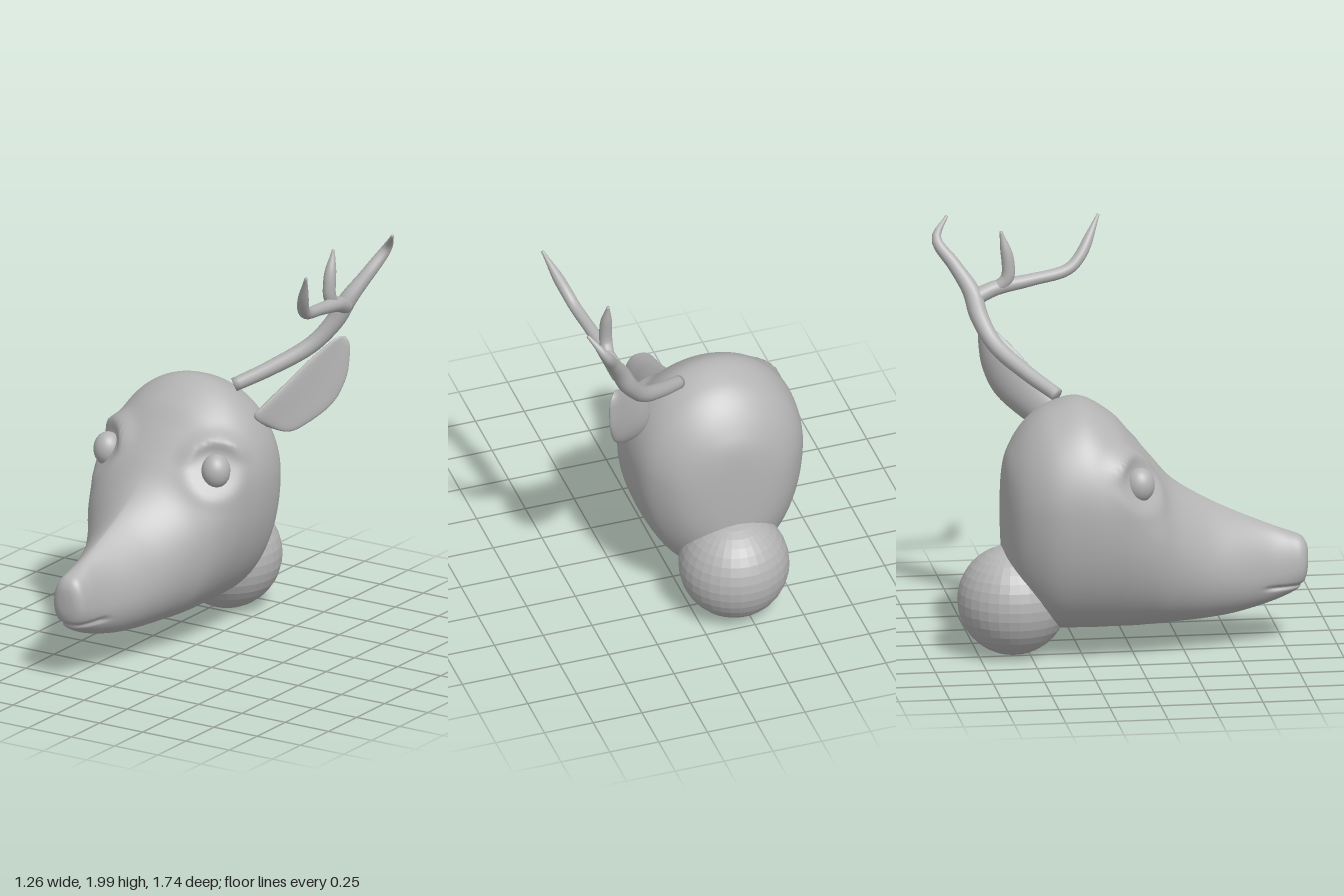
import * as THREE from 'three';

const grey = new THREE.MeshStandardMaterial({ color: 0xb4b4b4 });
grey.name = 'plain grey';

const part = (name, geometry) => {
  const mesh = new THREE.Mesh(geometry, grey);
  mesh.name = name;
  return mesh;
};

// Skin over a list of closed rings, all with the same number of points
function loft(rings) {
  const n = rings[0].length;
  const index = [];
  for (let i = 0; i < rings.length - 1; i++) {
    for (let j = 0; j < n; j++) {
      const k = (j + 1) % n;
      const a = i * n + j, b = i * n + k, c = a + n, d = b + n;
      index.push(a, c, b, b, c, d);
    }
  }
  const geometry = new THREE.BufferGeometry().setFromPoints(rings.flat());
  geometry.setIndex(index);
  geometry.computeVertexNormals();
  return geometry;
}

// Smooth value at t (0..1) along a list of equally spaced rows of numbers
function sample(rows, t) {
  const f = t * (rows.length - 1);
  const i = Math.min(Math.floor(f), rows.length - 2);
  const u = f - i;
  const at = (k) => rows[THREE.MathUtils.clamp(k, 0, rows.length - 1)];
  return rows[0].map((_, c) => {
    const [p, q, r, s] = [at(i - 1)[c], at(i)[c], at(i + 1)[c], at(i + 2)[c]];
    return q + 0.5 * u * (r - p + u * (2 * p - 5 * q + 4 * r - s + u * (3 * (q - r) + s - p)));
  });
}

const power = (v, e) => Math.sign(v) * Math.pow(Math.abs(v), e);
const bell = (d, width) => Math.exp(-((d / width) ** 2));

// Head sections: z, top, bottom, half width, height of widest point, upper pinch
const HEAD = [
  [0.865, 0.46, 0.44, 0, 0.45, 0.8],
  [0.858, 0.51, 0.36, 0.05, 0.43, 0.8],
  [0.83, 0.55, 0.30, 0.085, 0.41, 0.8],
  [0.77, 0.575, 0.262, 0.098, 0.39, 0.9],
  [0.66, 0.62, 0.22, 0.118, 0.38, 1.2],
  [0.5, 0.69, 0.18, 0.18, 0.39, 1.45],
  [0.35, 0.765, 0.16, 0.23, 0.43, 1.4],
  [0.2, 0.86, 0.15, 0.3, 0.52, 1.2],
  [0.1, 0.97, 0.145, 0.362, 0.61, 1.0],
  [0, 1.09, 0.14, 0.4, 0.7, 1.0],
  [-0.1, 1.2, 0.14, 0.425, 0.77, 1.0],
  [-0.25, 1.283, 0.14, 0.435, 0.8, 1.0],
  [-0.4, 1.25, 0.15, 0.415, 0.8, 1.0],
  [-0.5, 1.18, 0.22, 0.36, 0.79, 1.0],
  [-0.58, 1.07, 0.33, 0.27, 0.76, 0.95],
  [-0.625, 0.95, 0.45, 0.14, 0.72, 0.9],
  [-0.635, 0.72, 0.71, 0, 0.715, 0.9],
];

// Eye sockets, brow ridges and the mouth groove
function sculpt(v) {
  const side = Math.sign(v.x);
  const d = Math.hypot(Math.abs(v.x) - 0.31, v.y - 0.92, v.z);
  const above = THREE.MathUtils.clamp((v.y - 0.92) / 0.1, 0.2, 1);
  const push = 0.035 * above * bell(d - 0.15, 0.04) - 0.02 * bell(d, 0.09);
  v.x += side * push * 0.75;
  v.y += push * 0.25;
  v.z += push * 0.6;
  if (v.z > 0.62) {
    const groove = 0.16 * bell(v.y - 0.312, 0.01) * THREE.MathUtils.smoothstep(v.z, 0.62, 0.7);
    v.x *= 1 - groove;
    v.z -= groove * 0.06;
  }
  return v;
}

function headGeometry() {
  const rings = [];
  const rows = 112, sides = 96;
  for (let i = 0; i <= rows; i++) {
    const [z, top, bottom, width, mid, pinch] = sample(HEAD, i / rows);
    const ring = [];
    for (let j = 0; j < sides; j++) {
      const a = (j / sides) * Math.PI * 2;
      const c = Math.cos(a), s = Math.sin(a);
      const x = Math.max(width, 0) * power(c, s > 0 ? pinch : 0.95);
      const y = mid + s * (s > 0 ? top - mid : mid - bottom);
      ring.push(sculpt(new THREE.Vector3(x, y, z)));
    }
    rings.push(ring);
  }
  return loft(rings);
}

// Tapered round branch through the given points
function branch(points, radii) {
  const curve = new THREE.CatmullRomCurve3(points.map((p) => new THREE.Vector3(...p)));
  const steps = 40, sides = 14;
  const frames = curve.computeFrenetFrames(steps);
  const table = radii.map((r) => [r]);
  const rings = [];
  for (let i = -1; i <= steps + 1; i++) {
    const k = THREE.MathUtils.clamp(i, 0, steps);
    const radius = i === k ? sample(table, k / steps)[0] : 0;
    const centre = curve.getPointAt(k / steps);
    rings.push(Array.from({ length: sides }, (_, j) => {
      const a = (j / sides) * Math.PI * 2;
      return centre.clone()
        .addScaledVector(frames.normals[k], radius * Math.cos(a))
        .addScaledVector(frames.binormals[k], -radius * Math.sin(a));
    }));
  }
  return loft(rings);
}

// Cupped leaf in an upright diagonal plane: run back, height, half width, half thickness
const EAR = [
  [0.335, 1.065, 0, 0],
  [0.35, 1.08, 0.083, 0.03],
  [0.41, 1.13, 0.105, 0.036],
  [0.5, 1.22, 0.112, 0.034],
  [0.57, 1.33, 0.092, 0.028],
  [0.62, 1.435, 0.05, 0.02],
  [0.637, 1.475, 0.025, 0.012],
  [0.643, 1.49, 0, 0],
];

function earGeometry() {
  const rings = [];
  const rows = 42, sides = 28;
  for (let i = 0; i <= rows; i++) {
    const [run, height, width, thick] = sample(EAR, i / rows);
    rings.push(Array.from({ length: sides }, (_, j) => {
      const a = (j / sides) * Math.PI * 2;
      const across = Math.max(width, 0) * Math.cos(a);
      const out = Math.max(thick, 0) * (Math.sin(a) + 0.7 * Math.cos(a) ** 2 - 0.35);
      const u = run + across * 0.82;
      return new THREE.Vector3(0.16 + (u - 0.3) * 0.82 + out * 0.77, height - across * 0.57, -u + out * 0.63);
    }));
  }
  return loft(rings);
}

export function createModel() {
  const model = new THREE.Group();
  model.name = 'deerHead';

  // Head, eyes and neck ball share a centre line at x = -0.2
  const skull = new THREE.Group();
  skull.name = 'skull';
  skull.position.x = -0.2;
  skull.add(part('head', headGeometry()));
  for (const side of [1, -1]) {
    const eye = part(side > 0 ? 'leftEye' : 'rightEye', new THREE.SphereGeometry(1, 28, 20));
    eye.scale.set(0.07, 0.085, 0.072);
    eye.position.set(side * 0.312, 0.92, 0);
    skull.add(eye);
  }
  const ball = new THREE.SphereGeometry(0.27, 32, 18).toNonIndexed();
  ball.computeVertexNormals();
  const neck = part('neckBall', ball);
  neck.position.set(0, 0.28, -0.58);
  skull.add(neck);
  model.add(skull);

  // Single antler: main beam and two tines
  const antler = new THREE.Group();
  antler.name = 'leftAntler';
  antler.add(
    part('antlerBeam', branch(
      [[0, 1.245, -0.335], [0.13, 1.32, -0.46], [0.28, 1.43, -0.6], [0.37, 1.55, -0.665],
        [0.425, 1.66, -0.695], [0.49, 1.78, -0.77], [0.55, 1.9, -0.85], [0.62, 1.992, -0.79]],
      [0.034, 0.037, 0.04, 0.042, 0.046, 0.036, 0.028, 0.008])),
    part('frontTine', branch(
      [[0.42, 1.63, -0.68], [0.44, 1.67, -0.58], [0.46, 1.7, -0.4], [0.49, 1.735, -0.22],
        [0.515, 1.79, -0.155], [0.6, 1.98, -0.05]],
      [0.04, 0.036, 0.03, 0.029, 0.027, 0.008])),
    part('middleTine', branch(
      [[0.44, 1.67, -0.57], [0.435, 1.72, -0.52], [0.435, 1.8, -0.515], [0.435, 1.955, -0.55]],
      [0.032, 0.032, 0.028, 0.008])),
  );
  model.add(antler, part('leftEar', earGeometry()));
  return model;
}
